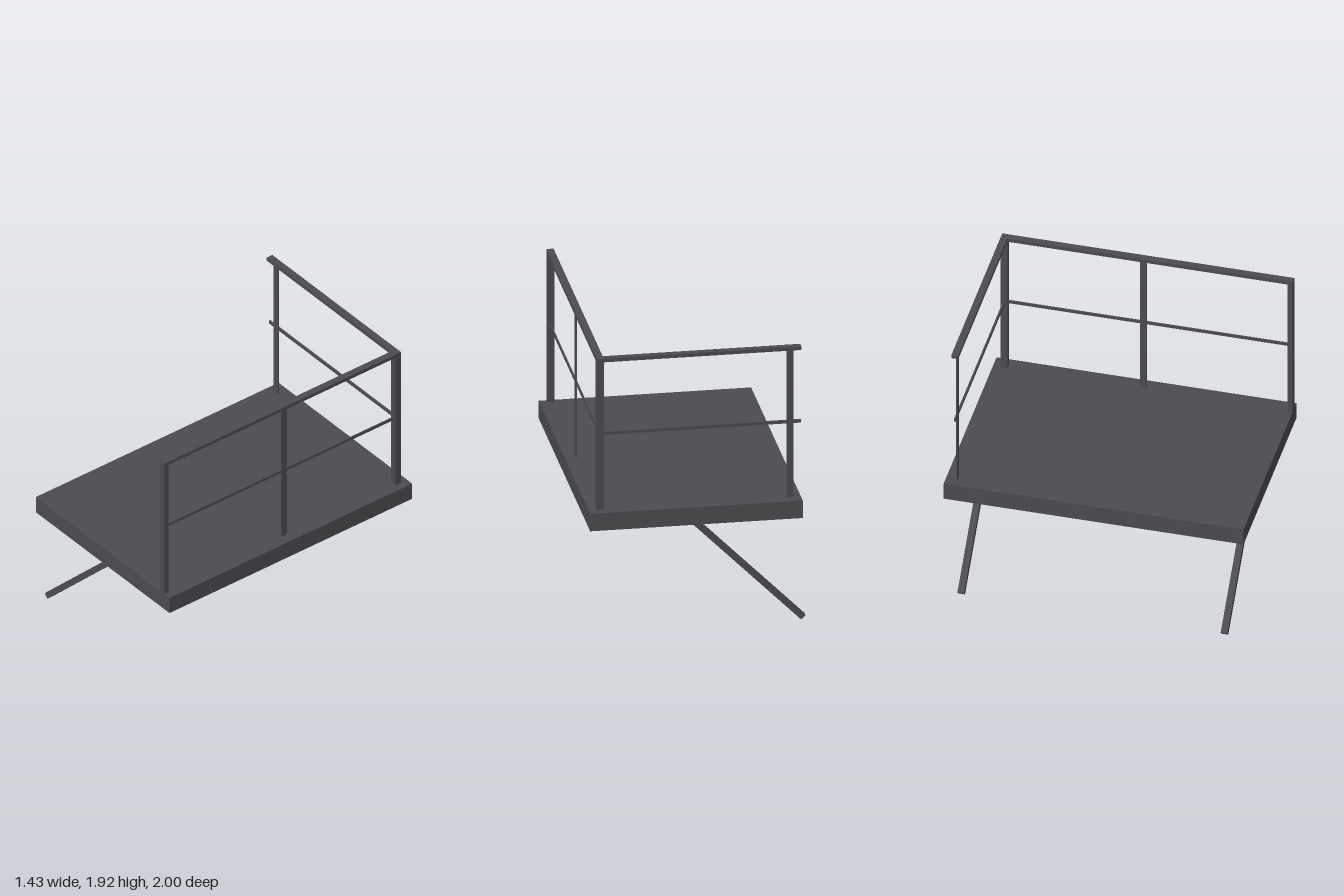
import * as THREE from 'three';

export function createModel() {
  const group = new THREE.Group();
  const steel = new THREE.MeshStandardMaterial({ color: 0x4c4b4f });
  steel.name = 'dark steel';

  // Box given by its extents along each axis
  function bar(name, [x0, x1], [y0, y1], [z0, z1]) {
    const mesh = new THREE.Mesh(new THREE.BoxGeometry(x1 - x0, y1 - y0, z1 - z0), steel);
    mesh.name = name;
    mesh.position.set((x0 + x1) / 2, (y0 + y1) / 2, (z0 + z1) / 2);
    group.add(mesh);
  }

  const deckTop = 0.868, railBottom = 1.896, railTop = 1.921;
  const sideX = [0.616, 0.663];     // side railing line
  const backZ = [-0.949, -0.903];   // back railing line
  const postY = [deckTop, railBottom];
  const topY = [railBottom, railTop];
  const midY = [1.384, 1.405];

  // Platform
  bar('deck', [-0.68, 0.714], [0.746, deckTop], [-1, 1]);

  // Posts: sturdy at corner and front end, flat strips between
  bar('cornerPost', sideX, postY, backZ);
  bar('frontPost', sideX, postY, [0.966, 1]);
  bar('sideMiddlePost', [0.634, 0.645], postY, [-0.022, 0.022]);
  bar('backEndPost', [-0.632, -0.587], postY, [-0.931, -0.921]);

  // Handrails
  bar('sideHandrail', sideX, topY, [backZ[0], 1]);
  bar('backHandrail', [-0.68, sideX[0]], topY, backZ);

  // Thin middle rails
  bar('sideMiddleRail', [0.635, 0.644], midY, [backZ[1], 0.966]);
  bar('backMiddleRail', [-0.68, sideX[0]], midY, [-0.932, -0.92]);

  // Sloping struts under the deck, ending inside it
  const length = 1.09, width = 0.04;
  for (const z of [-0.878, 0.878]) {
    const strut = new THREE.Mesh(new THREE.BoxGeometry(length, width, 0.044), steel);
    strut.name = z > 0 ? 'frontStrut' : 'backStrut';
    strut.rotation.z = Math.PI / 4;
    const half = (length / 2) * Math.SQRT1_2;
    strut.position.set(-0.7 + half, 0.014 + half, z);
    group.add(strut);
  }
  return group;
}
